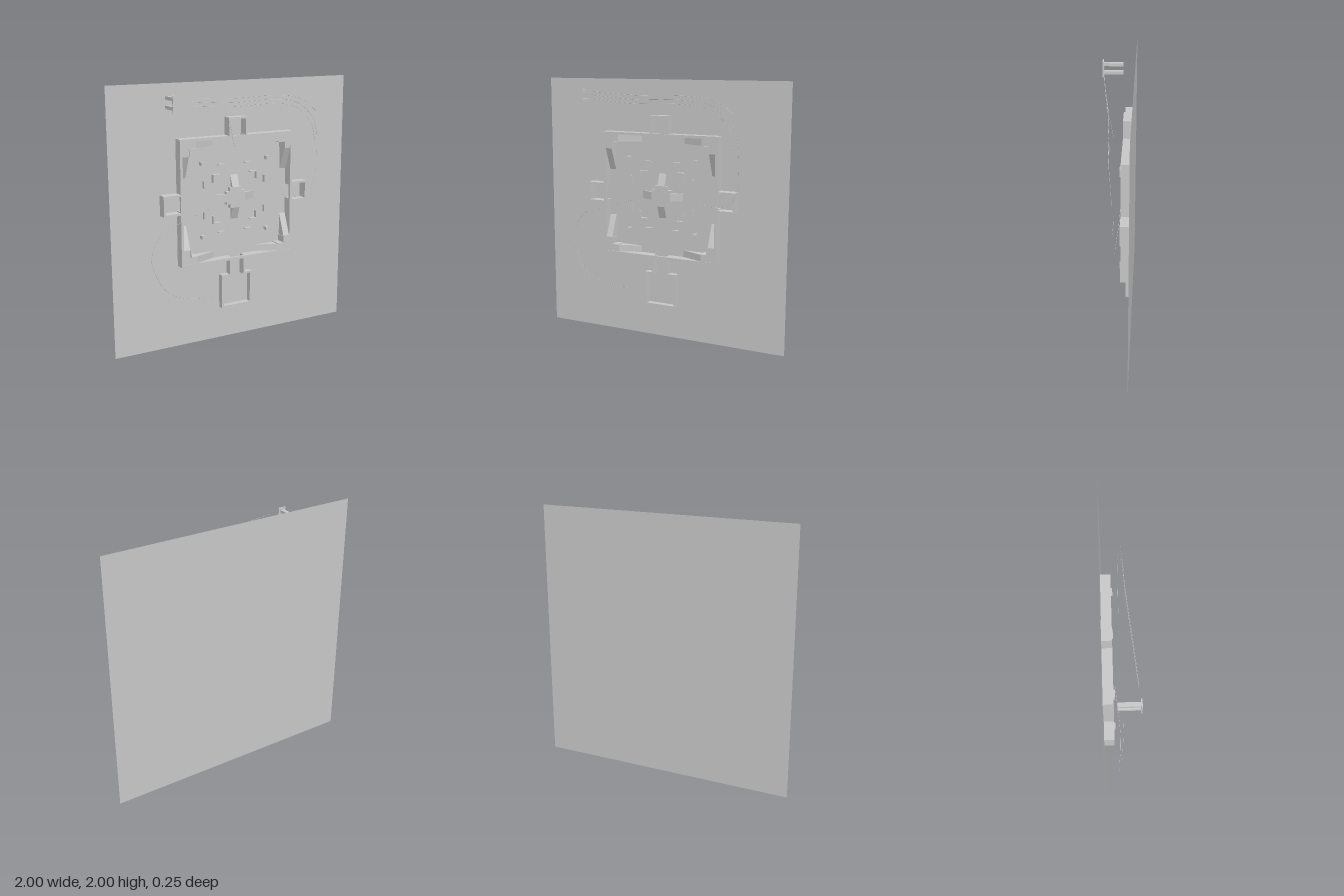
import * as THREE from 'three';

const grey = new THREE.MeshStandardMaterial({ color: 0xc8c8c8, side: THREE.DoubleSide });
grey.name = 'plain grey';

const BASE = -0.127; // depth of the backing sheet

function add(parent, name, geometry) {
  const mesh = new THREE.Mesh(geometry, grey);
  mesh.name = name;
  parent.add(mesh);
  return mesh;
}

// Box given by its limits
function block(parent, name, x0, x1, y0, y1, z0, z1) {
  const mesh = add(parent, name, new THREE.BoxGeometry(x1 - x0, y1 - y0, z1 - z0));
  mesh.position.set((x0 + x1) / 2, (y0 + y1) / 2, (z0 + z1) / 2);
}

// Box whose outer face slopes down to the floor towards one side
function ramp(parent, name, x0, x1, y0, y1, h, axis, lowSign) {
  const g = new THREE.BoxGeometry(Math.abs(x1 - x0), Math.abs(y1 - y0), h).toNonIndexed();
  const p = g.attributes.position;
  for (let i = 0; i < p.count; i++) {
    const along = axis === 'x' ? p.getX(i) : p.getY(i);
    if (p.getZ(i) > 0 && along * lowSign > 0) p.setZ(i, -h / 2 + 0.001);
  }
  g.computeVertexNormals();
  add(parent, name, g).position.set((x0 + x1) / 2, (y0 + y1) / 2, h / 2);
}

// Thin cable through a few points
function cable(parent, name, points) {
  const curve = new THREE.CatmullRomCurve3(points.map((p) => new THREE.Vector3(...p)));
  add(parent, name, new THREE.TubeGeometry(curve, 48, 0.0012, 4));
}

// Extruded plan
function plan(parent, name, points, h) {
  const shape = new THREE.Shape(points.map((p) => new THREE.Vector2(...p)));
  add(parent, name, new THREE.ExtrudeGeometry(shape, { depth: h, bevelEnabled: false }));
}

export function createModel() {
  const model = new THREE.Group();
  model.name = 'arenaPlan';

  // Backing sheet
  add(model, 'backingSheet', new THREE.PlaneGeometry(2, 2)).position.set(0, 1, BASE);

  // Everything in the arena is measured from its centre, rising from the sheet
  const arena = new THREE.Group();
  arena.name = 'arena';
  arena.position.set(0, 1.12, BASE);
  model.add(arena);

  // Outer walls with a doorway in the middle of each side
  const H = 0.074, R = 0.48, T = 0.02, D = 0.055;
  for (const s of [-1, 1]) {
    const inner = s * (R - T / 2) - T / 2, outer = inner + T;
    for (const t of [-1, 1]) {
      const a = t < 0 ? -R : D, b = t < 0 ? -D : R;
      block(arena, 'wallAcross', a, b, inner, outer, 0, H);
      block(arena, 'wallUpright', inner, outer, a, b, 0, H);
    }
    // Lintels over the doorways
    block(arena, 'lintelAcross', -D, D, inner, outer, 0.055, H);
    block(arena, 'lintelUpright', inner, outer, -D, D, 0.055, H);
  }

  // Three small side rooms
  const W = 0.015;
  for (const [name, angle] of [['topRoom', 0], ['leftRoom', -Math.PI / 2], ['rightRoom', Math.PI / 2]]) {
    const room = new THREE.Group();
    room.name = name;
    room.rotation.z = angle;
    arena.add(room);
    for (const s of [-1, 1]) {
      block(room, 'roomSide', s * 0.07 - W / 2, s * 0.07 + W / 2, R, 0.615, 0, H);
    }
    block(room, 'roomEnd', -0.0625, 0.0625, 0.615 - W, 0.615, 0, H);
  }

  // Lower corridor and entrance room
  for (const s of [-1, 1]) {
    block(arena, 'corridorWall', s * 0.058 - 0.007, s * 0.058 + 0.007, -0.60, -R, 0, 0.057);
    block(arena, 'entranceSide', s * 0.124 - 0.008, s * 0.124 + 0.008, -0.868, -0.60, 0, 0.046);
    block(arena, 'entranceTop', s < 0 ? -0.116 : 0.051, s < 0 ? -0.051 : 0.116, -0.615, -0.60, 0, 0.046);
  }
  block(arena, 'entranceEnd', -0.116, 0.116, -0.868, -0.852, 0, 0.046);

  // Central plateau with notched corners and four ramps
  const P = 0.08, N = 0.05, C = 0.035;
  plan(arena, 'centrePlateau', [
    [-N, -P], [N, -P], [N, -N], [P, -N], [P, N], [N, N],
    [N, P], [-N, P], [-N, N], [-P, N], [-P, -N], [-N, -N],
  ], C);
  for (const s of [-1, 1]) {
    ramp(arena, 'centreRampUpright', -0.03, 0.03, s * P, s * 0.172, C, 'y', s);
    ramp(arena, 'centreRampAcross', s * P, s * 0.172, -0.03, 0.03, C, 'x', s);
  }

  // Repeated pieces in the four quarters
  for (const sx of [-1, 1]) {
    for (const sy of [-1, 1]) {
      const box = (name, x0, x1, y0, y1, h) => block(arena, name,
        Math.min(sx * x0, sx * x1), Math.max(sx * x0, sx * x1),
        Math.min(sy * y0, sy * y1), Math.max(sy * y0, sy * y1), 0, h);
      // L-shaped corner platform with a thin rail along its inner edge and two ramps
      box('cornerPlatformAcross', 0.35, 0.46, 0.408, 0.46, 0.07);
      box('cornerPlatformUpright', 0.408, 0.46, 0.35, 0.408, 0.07);
      box('cornerRailAcross', 0.35, 0.408, 0.402, 0.408, 0.084);
      box('cornerRailUpright', 0.402, 0.408, 0.35, 0.402, 0.084);
      ramp(arena, 'cornerRampAcross', sx * 0.18, sx * 0.35, sy * 0.408, sy * 0.46, 0.07, 'x', -sx);
      ramp(arena, 'cornerRampUpright', sx * 0.408, sx * 0.46, sy * 0.18, sy * 0.35, 0.07, 'y', -sy);
      // Post and low cover walls
      box('post', 0.267, 0.293, 0.267, 0.293, 0.04);
      box('coverAcross', 0.087, 0.143, 0.256, 0.264, 0.025);
      box('coverUpright', 0.256, 0.264, 0.09, 0.145, 0.025);
      box('angledCoverAcross', 0.128, 0.19, 0.181, 0.19, 0.03);
      box('angledCoverUpright', 0.181, 0.19, 0.128, 0.181, 0.03);
    }
  }

  // Sign plate on two bars
  const sign = new THREE.Group();
  sign.name = 'signPost';
  model.add(sign);
  block(sign, 'signPlate', -0.61, -0.55, 1.81, 1.935, 0.117, 0.127);
  for (const y of [1.842, 1.907]) block(sign, 'signBar', -0.597, -0.567, y - 0.012, y + 0.012, -0.03, 0.117);

  // Loose cables in front of the sheet
  cable(model, 'upperCable', [[-0.46, 1.91, 0.11], [-0.125, 1.89, 0.08], [0.25, 1.89, 0.04],
    [0.44, 1.87, 0.03], [0.545, 1.83, 0.02], [0.635, 1.755, 0.02]]);
  cable(model, 'longCable', [[-0.46, 1.885, 0.11], [-0.15, 1.86, 0.08], [0.25, 1.86, 0.04],
    [0.44, 1.835, 0.03], [0.55, 1.77, 0.02], [0.62, 1.69, 0.02], [0.655, 1.58, 0.01], [0.665, 1.4, 0],
    [0.655, 1.22, 0], [0.6, 1.12, 0], [0.5, 1.09, 0], [0.42, 1.1, 0], [0.355, 1.12, 0]]);
  cable(model, 'lowerCable', [[-0.46, 1.855, 0.11], [-0.15, 1.83, 0.08], [0.25, 1.83, 0.04],
    [0.42, 1.805, 0.03], [0.53, 1.74, 0.02], [0.6, 1.66, 0.02], [0.625, 1.57, 0.02], [0.635, 1.5, 0.02]]);
  cable(model, 'shortCable', [[-0.155, 1.75, 0.08], [-0.11, 1.64, 0.045], [-0.075, 1.53, 0.02]]);
  cable(model, 'loopCable', [[-0.18, 1.1, -0.04], [-0.5, 1.0, -0.01], [-0.62, 0.96, -0.01],
    [-0.7, 0.87, -0.02], [-0.735, 0.74, -0.02], [-0.7, 0.61, -0.01], [-0.62, 0.49, 0],
    [-0.5, 0.43, 0.01], [-0.35, 0.405, 0.02], [-0.23, 0.41, 0.02]]);

  return model;
}
